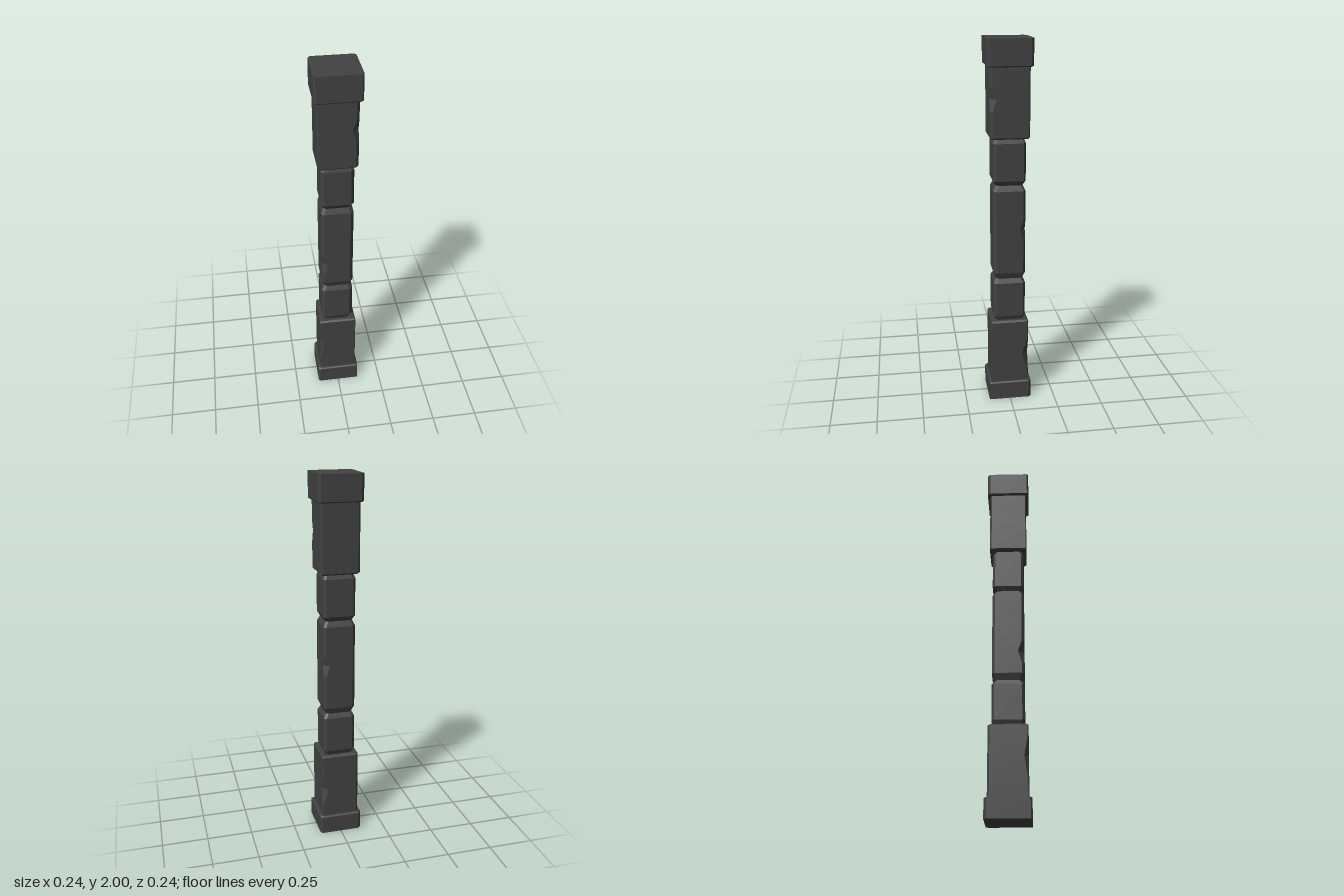
import * as THREE from 'three';

// Corner order: (+x,+z), (+x,-z), (-x,-z), (-x,+z)
const CORNERS = [[1, 1], [1, -1], [-1, -1], [-1, 1]];

// Square outline whose four corners are cut by their own chamfer
function outline(y, half, cuts) {
  const points = [];
  CORNERS.forEach(([sx, sz], i) => {
    const a = [sx * (half - cuts[i]), y, sz * half];
    const b = [sx * half, y, sz * (half - cuts[i])];
    points.push(...(sx * sz > 0 ? [a, b] : [b, a]));
  });
  return points;
}

// Stone block lofted through outlines; each chip deepens one corner's chamfer
function block(name, material, { y0, y1, half, cuts, bottom = [0, 0], top = [0, 0], chips = [] }) {
  const levels = [y0 + bottom[0], y1 - top[0]];
  chips.forEach((c) => levels.push(c.y - c.low, c.y, c.y + c.high));
  levels.sort((a, b) => a - b);
  const cutsAt = (y) => cuts.map((cut, i) => {
    let result = cut;
    for (const c of chips) {
      if (c.corner !== i) continue;
      const t = 1 - Math.abs(y - c.y) / (y < c.y ? c.low : c.high);
      result = Math.max(result, cut + (c.depth - cut) * t);
    }
    return result;
  });
  const rings = levels.map((y) => outline(y, half, cutsAt(y)));
  if (bottom[0]) rings.unshift(outline(y0, half - bottom[1], cuts));
  if (top[0]) rings.push(outline(y1, half - top[1], cuts));

  const positions = [];
  const tri = (a, b, c) => positions.push(...a, ...b, ...c);
  for (let r = 0; r < rings.length - 1; r++) {
    for (let i = 0; i < 8; i++) {
      const j = (i + 1) % 8;
      tri(rings[r][i], rings[r][j], rings[r + 1][j]);
      tri(rings[r][i], rings[r + 1][j], rings[r + 1][i]);
    }
  }
  // End faces
  const first = rings[0], last = rings[rings.length - 1];
  for (let i = 1; i < 7; i++) {
    tri(first[0], first[i + 1], first[i]);
    tri(last[0], last[i], last[i + 1]);
  }
  const geometry = new THREE.BufferGeometry();
  geometry.setAttribute('position', new THREE.Float32BufferAttribute(positions, 3));
  geometry.computeVertexNormals();
  const mesh = new THREE.Mesh(geometry, material);
  mesh.name = name;
  return mesh;
}

export function createModel() {
  const group = new THREE.Group();
  group.name = 'stonePillar';
  const stone = new THREE.MeshStandardMaterial({ color: 0x424242, flatShading: true });
  stone.name = 'darkStone';

  const shaftCuts = [0.016, 0.012, 0.014, 0.014];
  const parts = {
    // Foot and head slabs
    base: { y0: 0, y1: 0.105, half: 0.118, cuts: [0.003, 0.012, 0.014, 0.009], top: [0.006, 0.006] },
    cap: { y0: 1.86, y1: 2, half: 0.118, cuts: [0.008, 0.012, 0.015, 0.009], bottom: [0.006, 0.006] },
    // Wide blocks next to the slabs
    lowerBlock: {
      y0: 0.1, y1: 0.475, half: 0.103, cuts: [0.003, 0.006, 0.01, 0.005], top: [0.008, 0.008],
      chips: [
        { corner: 1, y: 0.27, low: 0.1, high: 0.09, depth: 0.035 },
        { corner: 3, y: 0.31, low: 0.12, high: 0.1, depth: 0.022 },
      ],
    },
    upperBlock: {
      y0: 1.495, y1: 1.865, half: 0.103, cuts: [0.014, 0.006, 0.01, 0.005], bottom: [0.008, 0.008],
      chips: [{ corner: 0, y: 1.7, low: 0.06, high: 0.06, depth: 0.034 }],
    },
    // Slim shaft stones with tapered joints
    lowerShaft: { y0: 0.47, y1: 0.72, half: 0.086, cuts: shaftCuts, bottom: [0.03, 0.012], top: [0.025, 0.014] },
    middleShaft: {
      y0: 0.72, y1: 1.245, half: 0.086, cuts: shaftCuts, bottom: [0.035, 0.014], top: [0.03, 0.014],
      chips: [
        { corner: 1, y: 1.0, low: 0.06, high: 0.05, depth: 0.032 },
        { corner: 3, y: 0.88, low: 0.07, high: 0.06, depth: 0.034 },
      ],
    },
    upperShaft: { y0: 1.245, y1: 1.5, half: 0.086, cuts: shaftCuts, bottom: [0.025, 0.014], top: [0.03, 0.012] },
  };
  for (const [name, spec] of Object.entries(parts)) group.add(block(name, stone, spec));
  return group;
}
